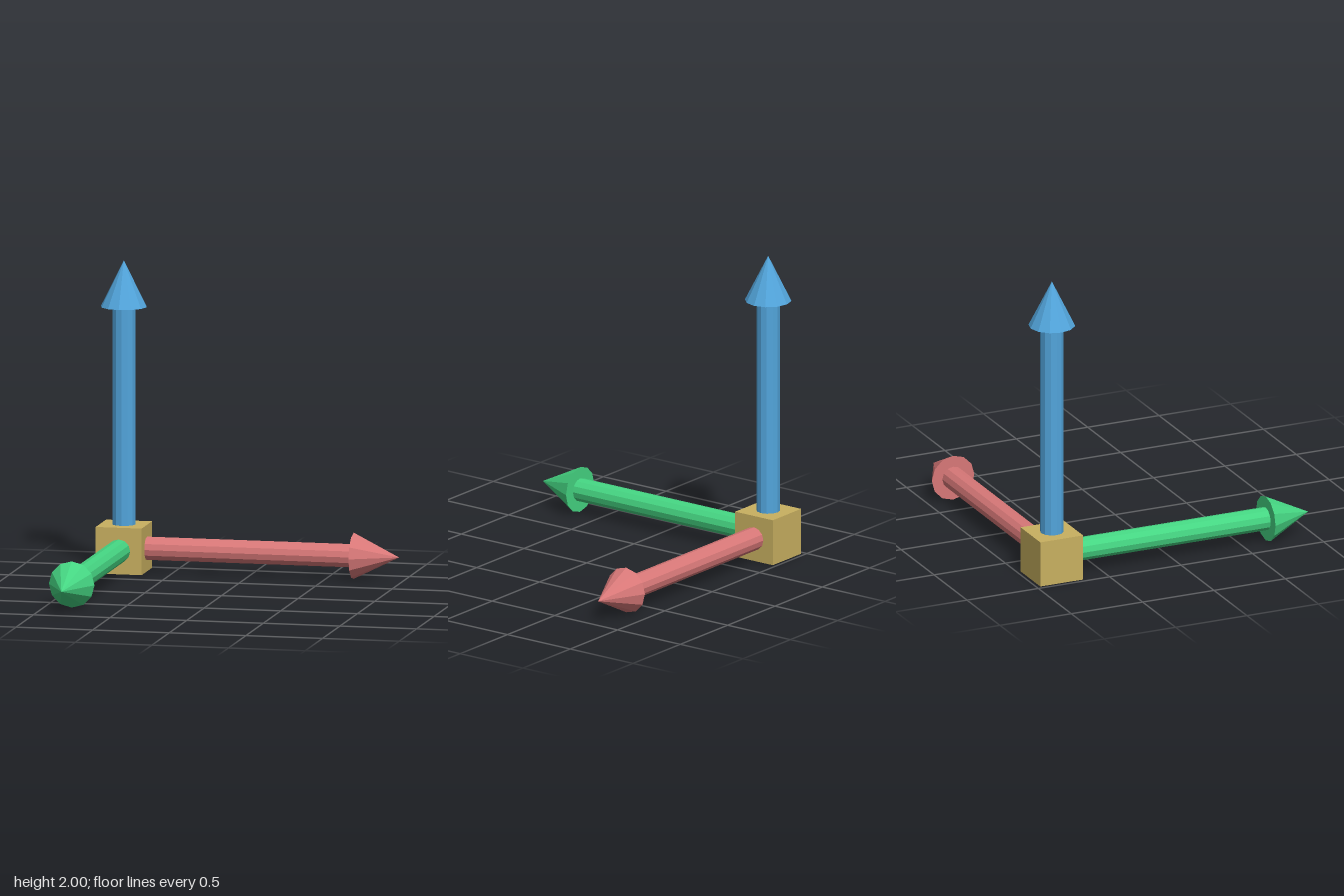
import * as THREE from 'three';

const ORIGIN = new THREE.Vector3(-0.824, 0.15, -0.824);
const HALF = 0.15; // half the hub cube
const SIDES = 12;

function makeMaterial(name, color) {
  const m = new THREE.MeshStandardMaterial({ color, flatShading: true });
  m.name = name;
  return m;
}

// Arrow along +y: a shaft from the hub face, then a wide cone head
function makeArrow(name, material, length) {
  const arrow = new THREE.Group();
  arrow.name = name;
  const headLength = 0.297;
  const shaftLength = length - headLength - HALF;

  const shaft = new THREE.Mesh(new THREE.CylinderGeometry(0.075, 0.075, shaftLength, SIDES), material);
  shaft.name = name + 'Shaft';
  shaft.position.y = HALF + shaftLength / 2;

  const head = new THREE.Mesh(new THREE.ConeGeometry(0.149, headLength, SIDES), material);
  head.name = name + 'Head';
  head.position.y = length - headLength / 2;

  arrow.add(shaft, head);
  arrow.position.copy(ORIGIN);
  return arrow;
}

export function createModel() {
  const model = new THREE.Group();
  model.name = 'axisArrows';

  // Hub cube at the corner
  const hub = new THREE.Mesh(
    new THREE.BoxGeometry(2 * HALF, 2 * HALF, 2 * HALF),
    makeMaterial('sand', 0xc8b060)
  );
  hub.name = 'hub';
  hub.position.copy(ORIGIN);

  // Three arrows, one along each axis
  const right = makeArrow('xArrow', makeMaterial('red', 0xd87878), 1.796);
  right.rotation.z = -Math.PI / 2;
  const up = makeArrow('yArrow', makeMaterial('blue', 0x52a5dc), 1.85);
  const forward = makeArrow('zArrow', makeMaterial('green', 0x45d582), 1.796);
  forward.rotation.x = Math.PI / 2;

  model.add(hub, right, up, forward);
  return model;
}
